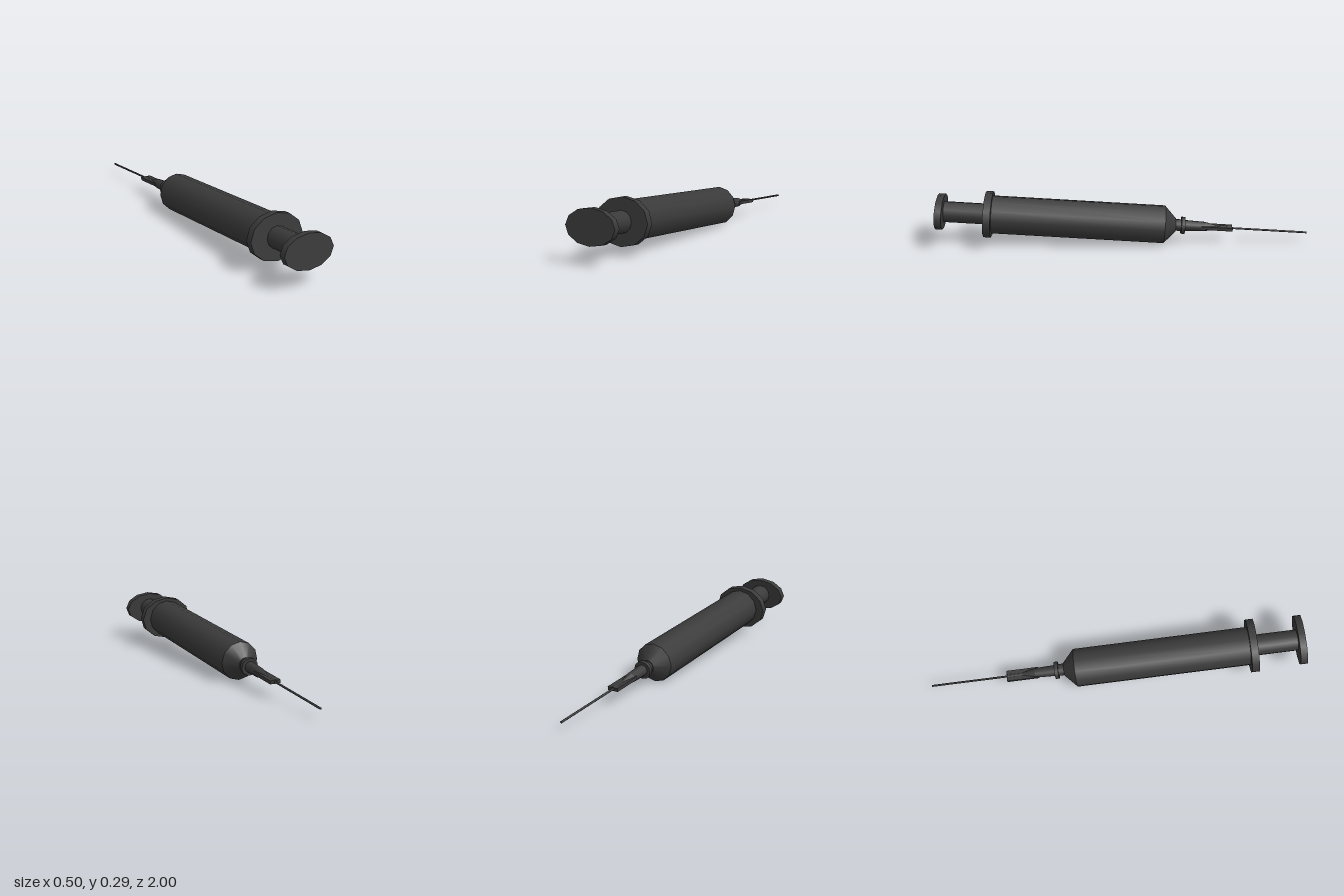
import * as THREE from 'three';

export function createModel() {
  const model = new THREE.Group();
  model.name = 'syringe';
  const material = new THREE.MeshStandardMaterial({ color: 0x3a3a3a });

  // Everything is laid out along local z: needle at -z, thumb press at +z
  const body = new THREE.Group();
  body.name = 'syringeBody';
  body.rotation.set(-0.065, 0.1774, 0, 'YXZ');
  body.position.set(-0.064, 0.122, 0);
  model.add(body);

  function add(name, geometry, z = 0) {
    const mesh = new THREE.Mesh(geometry, material);
    mesh.name = name;
    mesh.position.z = z;
    body.add(mesh);
    return mesh;
  }

  // Capped cylinder or cone from z0 (radius r0) to z1 (radius r1)
  function tube(name, z0, z1, r0, r1 = r0, sides = 12) {
    const g = new THREE.CylinderGeometry(r1, r0, z1 - z0, sides);
    g.rotateX(Math.PI / 2);
    return add(name, g, (z0 + z1) / 2);
  }

  // Plunger: oval thumb press and round rod
  tube('thumbPress', 0.957, 0.994, 1).scale.set(0.139, 0.09, 1);
  tube('plungerRod', 0.72, 0.96, 0.057);

  // Barrel with oval finger flange and tapered shoulder
  tube('fingerFlange', 0.697, 0.737, 1).scale.set(0.149, 0.122, 1);
  tube('barrel', -0.236, 0.70, 0.104);
  tube('shoulder', -0.298, -0.236, 0.036, 0.104);
  tube('neck', -0.33, -0.29, 0.032);

  // Needle hub: collar, sleeve and taper
  tube('hubCollar', -0.348, -0.328, 0.047);
  tube('hubSleeve', -0.455, -0.34, 0.026, 0.03);
  tube('hubTaper', -0.52, -0.455, 0.012, 0.026);
  tube('hubTip', -0.605, -0.52, 0.011, 0.012);

  // Flat grip fins on both sides of the hub
  for (const side of [-1, 1]) {
    const name = side > 0 ? 'leftFin' : 'rightFin';
    add(name, new THREE.BoxGeometry(0.022, 0.018, 0.17), -0.523).position.x = side * 0.018;
  }

  // Needle
  tube('needle', -1.017, -0.6, 0.0055, 0.0055, 8);

  return model;
}
